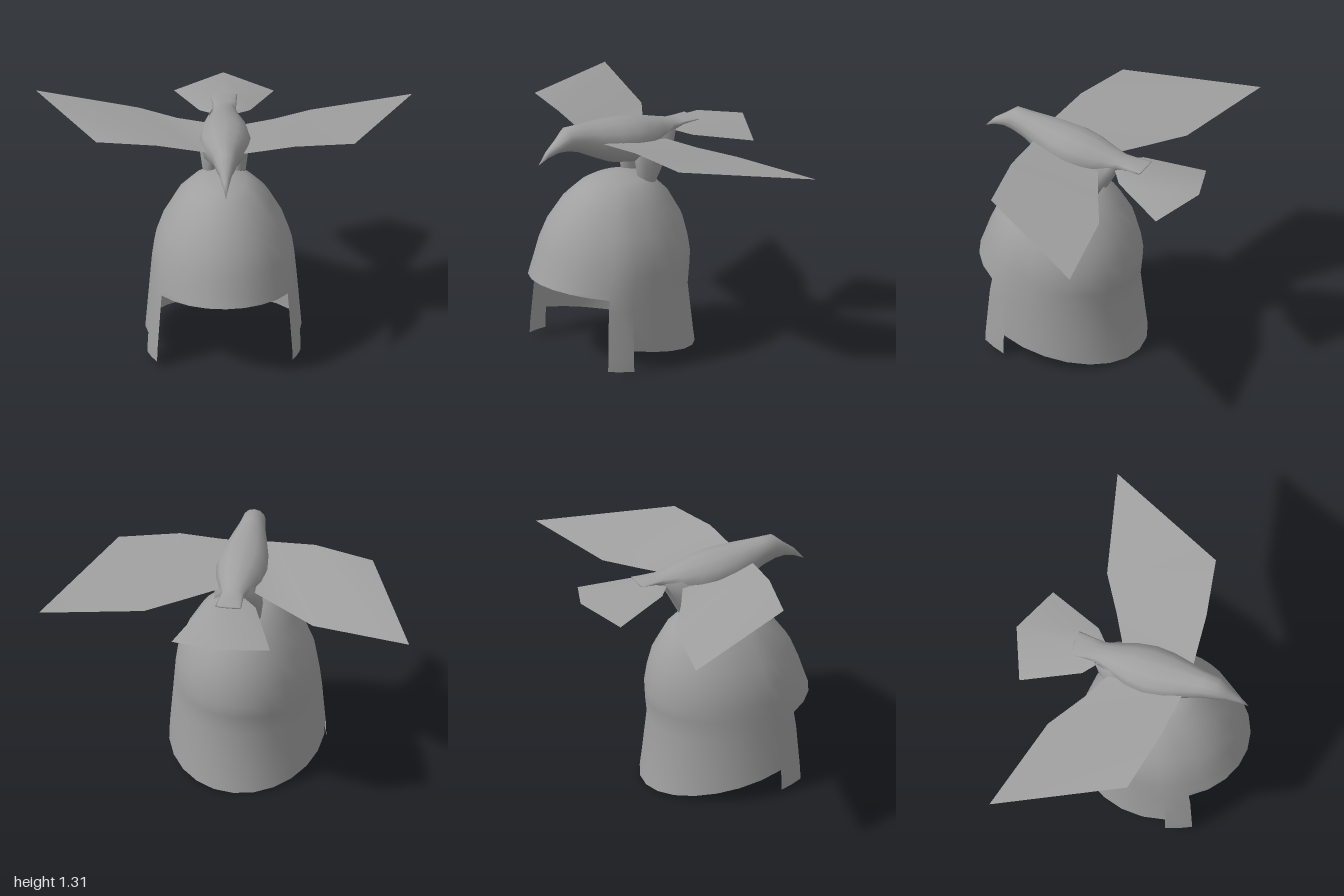
import * as THREE from 'three';
import { mergeVertices } from 'three/addons/utils/BufferGeometryUtils.js';

const grey = new THREE.MeshStandardMaterial({ color: 0xa0a0a0, side: THREE.DoubleSide });
grey.name = 'plain grey';

// Smooth surface from one or more grids; a grid is a list of equally long rows of [x, y, z]
function surface(name, grids) {
  const pos = [];
  for (const rows of grids) {
    for (let i = 0; i < rows.length - 1; i++) {
      for (let j = 0; j < rows[0].length - 1; j++) {
        const a = rows[i][j], b = rows[i][j + 1], c = rows[i + 1][j + 1], d = rows[i + 1][j];
        pos.push(...a, ...d, ...c, ...a, ...c, ...b);
      }
    }
  }
  let geo = new THREE.BufferGeometry();
  geo.setAttribute('position', new THREE.Float32BufferAttribute(pos, 3));
  geo = mergeVertices(geo, 1e-4);
  geo.computeVertexNormals();
  const mesh = new THREE.Mesh(geo, grey);
  mesh.name = name;
  return mesh;
}

// Helmet levels: height, front z, back z, half width
const LEVELS = [
  [1.0, 0.14, 0.14, 0], [0.965, 0.305, -0.02, 0.125], [0.93, 0.36, -0.07, 0.185],
  [0.855, 0.455, -0.145, 0.255], [0.73, 0.545, -0.215, 0.325], [0.62, 0.59, -0.24, 0.365],
  [0.53, 0.62, -0.255, 0.378], [0.46, 0.645, -0.25, 0.385], [0.35, 0.66, -0.235, 0.395],
  [0.1, 0.69, -0.265, 0.415], [0, 0.7, -0.28, 0.418],
];

function helmetPoint(angle, y) {
  let k = 0;
  while (k < LEVELS.length - 2 && y < LEVELS[k + 1][0]) k++;
  const p = LEVELS[k], q = LEVELS[k + 1];
  const t = (p[0] - y) / (p[0] - q[0]);
  const [zf, zb, w] = [1, 2, 3].map((n) => p[n] + (q[n] - p[n]) * t);
  return [-0.025 + w * Math.cos(angle), y, (zf + zb) / 2 + ((zf - zb) / 2) * Math.sin(angle)];
}

// Part of the shell between two angles, cut off below by the rim height
function shell(from, to, steps, rim) {
  return LEVELS.map(([y]) => Array.from({ length: steps + 1 }, (_, j) => {
    const angle = THREE.MathUtils.degToRad(from + ((to - from) * j) / steps);
    return helmetPoint(angle, Math.max(y, rim(Math.sin(angle))));
  }));
}

// Closed ring of points around an ellipse
function ring(n, fn) {
  return Array.from({ length: n + 1 }, (_, j) => {
    const a = ((j % n) / n) * Math.PI * 2;
    return fn(Math.cos(a), Math.sin(a));
  });
}

export function createModel() {
  const model = new THREE.Group();
  model.name = 'birdCrestedHelmet';

  // Helmet: raised brow, two cheek guards and the sloping neck rim
  const brow = (s) => 0.425 + 0.16 * (0.2 + 0.447 * s - 0.43);
  const cheek = (s) => 0.02 + 0.05 * (s - 0.227);
  const neck = (s) => Math.max(0, 0.135 - 0.225 * (0.32 - 0.2125 - 0.475 * s));
  model.add(surface('helmet', [
    shell(166.9, 149.5, 2, cheek),
    shell(149.5, 30.5, 8, brow),
    shell(30.5, 13.1, 2, cheek),
    shell(13.1, -193.1, 14, neck),
  ]));

  const bird = new THREE.Group();
  bird.name = 'bird';
  model.add(bird);

  // Body from beak tip to tail stub: z, top, bottom, half width
  const body = [
    [0.655, 1.14, 1.14, 0], [0.6, 1.21, 1.167, 0.016], [0.535, 1.262, 1.185, 0.035],
    [0.475, 1.315, 1.183, 0.06], [0.4, 1.313, 1.16, 0.072], [0.3, 1.31, 1.11, 0.1],
    [0.2, 1.307, 1.063, 0.128], [0.1, 1.3, 1.046, 0.138], [0, 1.285, 1.05, 0.123],
    [-0.1, 1.255, 1.1, 0.088], [-0.18, 1.232, 1.16, 0.062], [-0.24, 1.222, 1.19, 0.064],
    [-0.325, 1.216, 1.204, 0.07], [-0.33, 1.21, 1.21, 0],
  ];
  bird.add(surface('body', [body.map(([z, top, low, w]) => ring(12, (c, s) => {
    const mid = low + (top - low) * 0.55;
    return [-0.012 - 0.02 * z + w * c, mid + s * (s > 0 ? top - mid : mid - low), z];
  }))]));

  // Legs: height, front z, back z, distance from the middle, half width
  const leg = [
    [1.2, 0.06, -0.2, 0.05, 0.03], [1.14, 0.08, -0.165, 0.07, 0.058], [1.045, 0.08, -0.105, 0.076, 0.052],
    [0.935, 0.06, -0.045, 0.075, 0.038], [0.915, 0.03, -0.03, 0.075, 0.03], [0.915, 0, 0, 0.075, 0],
  ];
  for (const side of [1, -1]) {
    bird.add(surface(side > 0 ? 'leftLeg' : 'rightLeg', [leg.map(([y, zf, zb, x, w]) =>
      ring(10, (c, s) => [-0.015 + side * x + w * c, y, (zf + zb) / 2 - ((zf - zb) / 2) * s]))]));
  }

  // Wings: trailing edge, then leading edge
  bird.add(surface('leftWing', [[
    [[0.03, 1.17, -0.06], [0.25, 1.142, -0.18], [0.45, 1.125, -0.3], [0.995, 1.14, -0.425]],
    [[0.03, 1.215, 0.315], [0.13, 1.222, 0.305], [0.35, 1.245, 0.29], [0.67, 1.225, 0.235]],
  ]]));
  bird.add(surface('rightWing', [[
    [[-1, 1.17, -0.47], [-0.46, 1.14, -0.325], [-0.26, 1.152, -0.19], [-0.05, 1.18, -0.07]],
    [[-0.7, 1.238, 0.2], [-0.38, 1.255, 0.275], [-0.15, 1.232, 0.305], [-0.05, 1.22, 0.315]],
  ]]));

  // Tail fan with a raised middle
  bird.add(surface('tailFan', [[
    [[-0.265, 1.11, -0.55], [0, 1.155, -0.655], [0.265, 1.105, -0.54]],
    [[-0.14, 1.168, -0.24], [0, 1.2, -0.22], [0.13, 1.163, -0.24]],
    [[-0.05, 1.185, -0.16], [0, 1.205, -0.16], [0.04, 1.185, -0.16]],
  ]]));

  return model;
}
